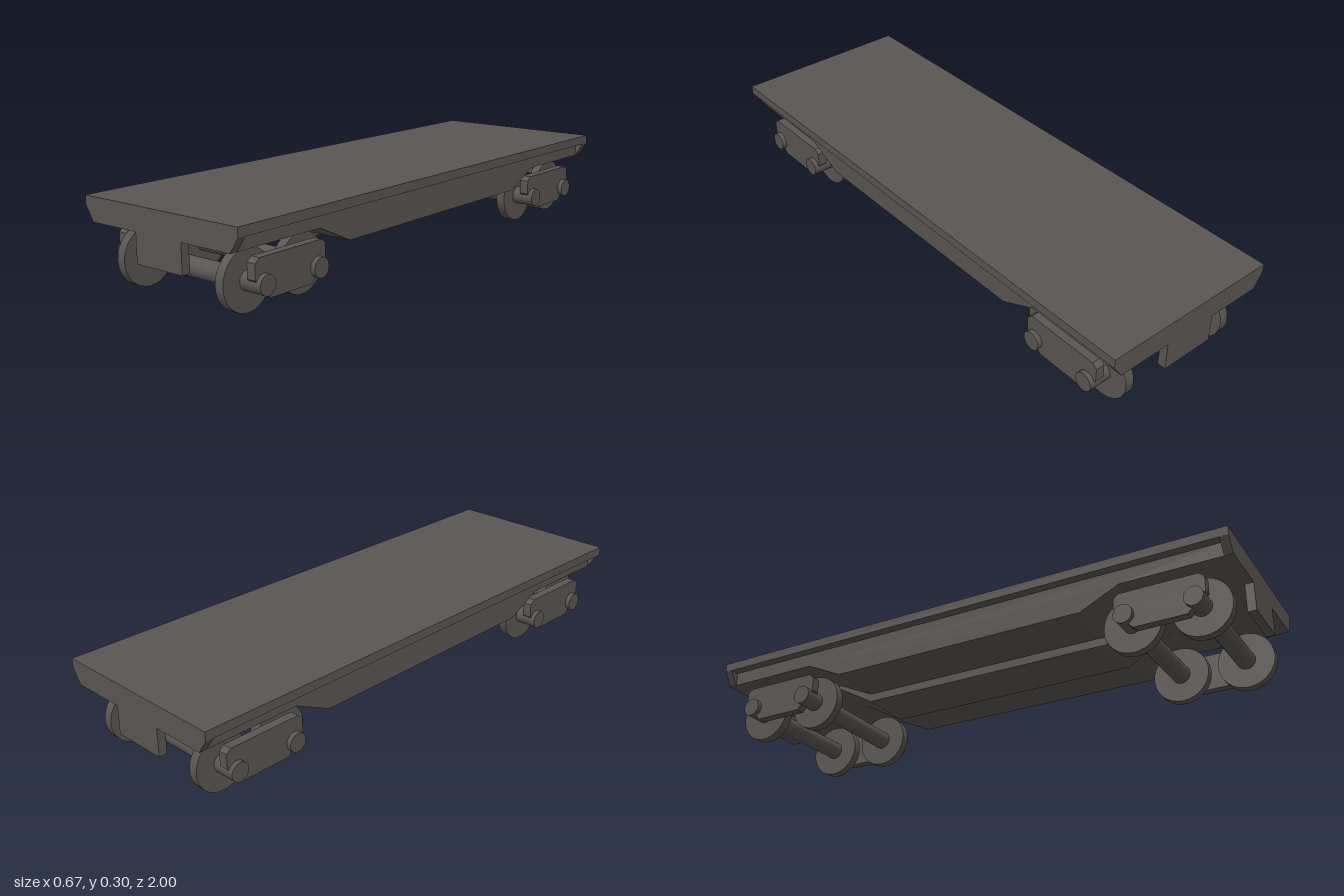
import * as THREE from 'three';

const darkGrey = new THREE.MeshStandardMaterial({ color: 0x5a5653 });
darkGrey.name = 'dark grey';

function add(parent, name, geometry, x = 0, y = 0, z = 0) {
  const mesh = new THREE.Mesh(geometry, darkGrey);
  mesh.name = name;
  mesh.position.set(x, y, z);
  parent.add(mesh);
  return mesh;
}

// Outline given as one half, mirrored about the vertical axis, extruded and centred in depth
function mirroredPlate(half, depth) {
  const points = [...half, ...half.map(([a, b]) => [-a, b]).reverse()];
  const shape = new THREE.Shape(points.map(([a, b]) => new THREE.Vector2(a, b)));
  return new THREE.ExtrudeGeometry(shape, { depth, bevelEnabled: false }).translate(0, 0, -depth / 2);
}

// The same, with the outline lying in the z-y plane and the depth across the wagon
const sidePlate = (half, width) => mirroredPlate(half, width).rotateY(-Math.PI / 2);

// Cylinder lying across the wagon
const crossCylinder = (radius, length) =>
  new THREE.CylinderGeometry(radius, radius, length, 32).rotateZ(Math.PI / 2);

function createBogie() {
  const bogie = new THREE.Group();
  bogie.name = 'bogie';
  // Axles with their wheels
  for (const z of [-0.117, 0.117]) {
    add(bogie, 'axle', crossCylinder(0.033, 0.634), 0, 0.1, z);
    for (const side of [-1, 1]) add(bogie, 'wheel', crossCylinder(0.1, 0.033), side * 0.217, 0.1, z);
  }
  // Side frames with cut corners
  const outline = [[0.09, 0.052], [0.153, 0.117], [0.153, 0.168], [0.135, 0.183]];
  for (const side of [-1, 1]) add(bogie, 'sideFrame', sidePlate(outline, 0.033), side * 0.2835);
  return bogie;
}

export function createModel() {
  const wagon = new THREE.Group();
  wagon.name = 'flatWagon';

  // Flat deck
  add(wagon, 'deck', new THREE.BoxGeometry(0.667, 0.032, 2), 0, 0.284, 0);

  // Full-width underframe, deeper between the bogies
  add(wagon, 'underframe', sidePlate(
    [[0.48, 0.152], [0.62, 0.218], [0.97, 0.218], [0.97, 0.268]], 0.6));

  // Narrow centre sill hanging below the underframe
  add(wagon, 'centreSill', sidePlate([[0.48, 0.122], [0.65, 0.218]], 0.2));

  // End plates with a central tab
  const endOutline = [[0.1, 0.118], [0.1, 0.218], [0.3, 0.218], [0.333, 0.268]];
  for (const end of [-1, 1]) {
    add(wagon, 'endPlate', mirroredPlate(endOutline, 0.03), 0, 0, end * 0.985);
    const bogie = createBogie();
    bogie.position.z = end * 0.75;
    wagon.add(bogie);
  }
  return wagon;
}
